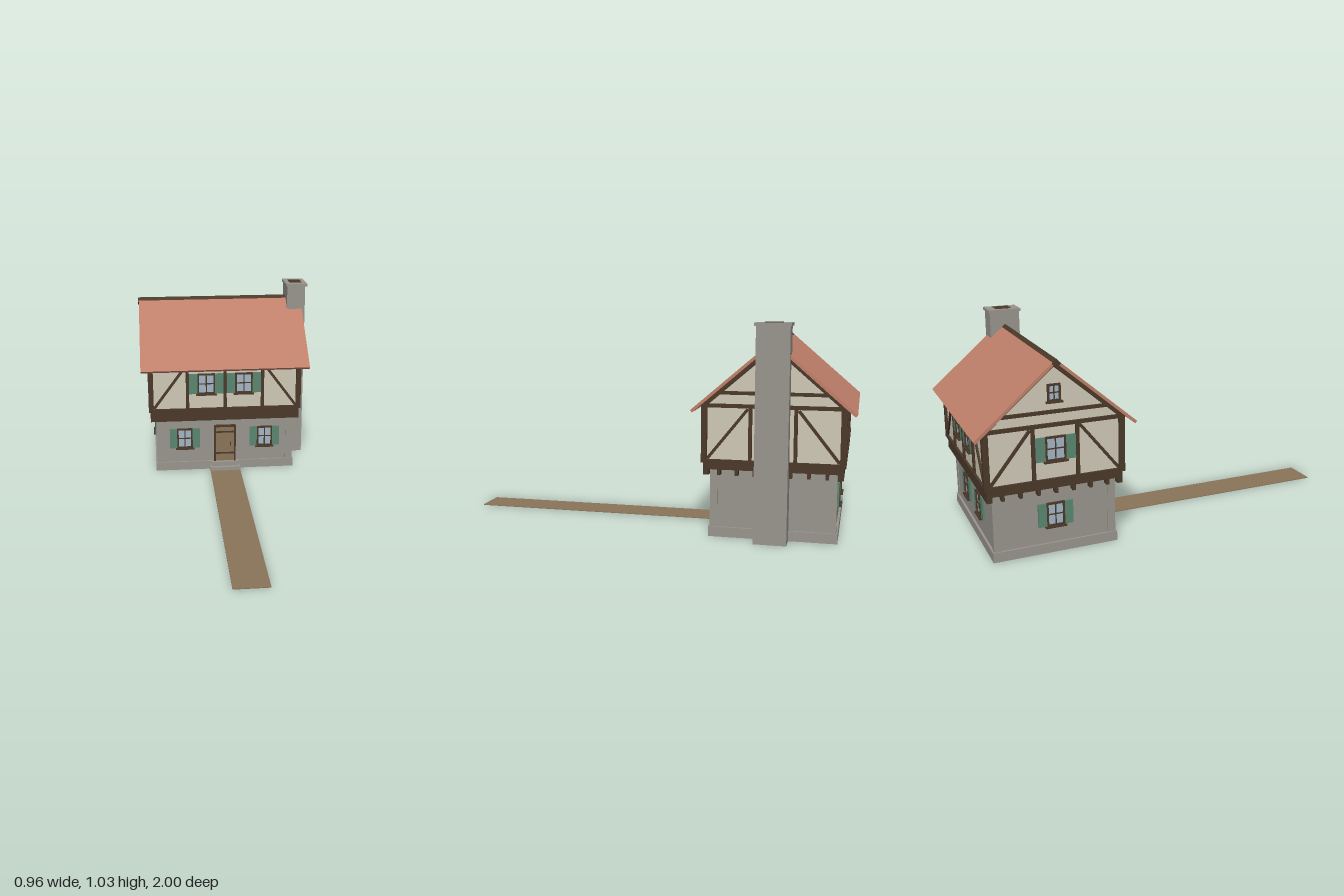
import * as THREE from 'three';

const material = (name, color) => {
  const m = new THREE.MeshStandardMaterial({ color });
  m.name = name;
  return m;
};

export function createModel() {
  const stone = material('stone', 0x99948d);
  const plaster = material('plaster', 0xd0c9b7);
  const timber = material('timber', 0x4b392a);
  const tile = material('roofTile', 0xc0806a);
  const green = material('shutterGreen', 0x5a8670);
  const glass = material('windowGlass', 0xa2b6c5);
  const wood = material('wood', 0x8a7558);

  const root = new THREE.Group();
  root.name = 'timberFrameHouse';
  const house = new THREE.Group();
  house.name = 'house';
  house.position.set(-0.0135, 0, -0.619);
  root.add(house);

  const box = (parent, name, mat, w, h, d, x, y, z) => {
    const mesh = new THREE.Mesh(new THREE.BoxGeometry(w, h, d), mat);
    mesh.name = name;
    mesh.position.set(x, y, z);
    parent.add(mesh);
    return mesh;
  };
  // Straight beam between two points of a wall plane
  const beam = (parent, name, x1, y1, x2, y2, t, d, z) => {
    const m = box(parent, name, timber, Math.hypot(x2 - x1, y2 - y1), t, d, (x1 + x2) / 2, (y1 + y2) / 2, z);
    m.rotation.z = Math.atan2(y2 - y1, x2 - x1);
    return m;
  };
  // Cross-section in (z, y), extruded along x and centred
  const prism = (name, mat, points, length, x = 0) => {
    const shape = new THREE.Shape(points.map(([z, y]) => new THREE.Vector2(z, y)));
    const geo = new THREE.ExtrudeGeometry(shape, { depth: length, bevelEnabled: false });
    geo.translate(0, 0, -length / 2).rotateY(Math.PI / 2);
    const mesh = new THREE.Mesh(geo, mat);
    mesh.name = name;
    mesh.position.x = x;
    house.add(mesh);
  };
  // Group whose local +z points out of a wall
  const wallFace = (name, angle, dist) => {
    const g = new THREE.Group();
    g.name = name;
    g.rotation.y = angle;
    g.position.set(Math.sin(angle) * dist, 0, Math.cos(angle) * dist);
    house.add(g);
    return g;
  };

  const addWindow = (face, x, y, w, h, shutterW) => {
    const g = new THREE.Group();
    g.name = 'window';
    g.position.set(x, y, 0);
    face.add(g);
    box(g, 'glass', glass, w - 0.008, h - 0.008, 0.006, 0, 0, 0.002);
    for (const s of [-1, 1]) {
      box(g, 'frameSide', timber, 0.009, h, 0.014, s * (w / 2 - 0.0045), 0, 0.004);
      box(g, 'frameRail', timber, w, 0.009, 0.014, 0, s * (h / 2 - 0.0045), 0.004);
      if (shutterW) box(g, 'shutter', green, shutterW, h - 0.002, 0.012, s * (w + shutterW) / 2, 0, 0.003);
    }
    box(g, 'mullion', timber, 0.006, h, 0.009, 0, 0, 0.003);
    box(g, 'crossbar', timber, w, 0.006, 0.009, 0, 0, 0.003);
    box(g, 'sill', timber, w + 0.016, 0.008, 0.024, 0, -h / 2 - 0.003, 0.007);
  };

  // Stone ground floor
  box(house, 'plinth', stone, 0.79, 0.048, 0.61, 0, 0.024, 0);
  box(house, 'groundFloorWall', stone, 0.768, 0.3, 0.588, 0, 0.19, 0);
  for (const sx of [-1, 1]) for (const sz of [-1, 1]) {
    box(house, 'stoneCorner', stone, 0.038, 0.29, 0.038, sx * 0.369, 0.19, sz * 0.279);
  }

  // Jetty: joists and floor band
  for (let i = -4; i <= 4; i++) box(house, 'joist', timber, 0.015, 0.03, 0.652, i * 0.08, 0.32, 0);
  for (let i = -3; i <= 3; i++) box(house, 'sideJoist', timber, 0.836, 0.03, 0.015, 0, 0.32, i * 0.084);
  for (const s of [-1, 1]) box(house, 'endJoist', timber, 0.836, 0.03, 0.026, 0, 0.32, s * 0.313);
  box(house, 'floorBand', timber, 0.836, 0.034, 0.652, 0, 0.349, 0);

  // Plastered upper floor with gables
  prism('upperWall', plaster, [[-0.324, 0.364], [0.324, 0.364], [0.324, 0.642], [0, 0.925], [-0.324, 0.642]], 0.826);
  for (const sx of [-1, 1]) for (const sz of [-1, 1]) {
    box(house, 'cornerPost', timber, 0.028, 0.275, 0.028, sx * 0.413, 0.5025, sz * 0.322);
  }

  const front = wallFace('upperFront', 0, 0.324);
  const back = wallFace('upperBack', Math.PI, 0.324);
  const leftSide = wallFace('upperLeft', Math.PI / 2, 0.413);
  const rightSide = wallFace('upperRight', -Math.PI / 2, 0.413);

  // Timber framing, half-width and post positions per wall
  const framing = (face, half, posts, braceTop) => {
    box(face, 'sillBeam', timber, half * 2, 0.016, 0.024, 0, 0.373, 0);
    box(face, 'topPlate', timber, half * 2, 0.018, 0.022, 0, 0.636, 0);
    for (const x of posts) box(face, 'post', timber, 0.017, 0.262, 0.022, x, 0.505, 0);
    for (const s of [-1, 1]) beam(face, 'brace', s * (half - 0.03), 0.385, s * braceTop, 0.622, 0.014, 0.018, 0);
  };
  for (const f of [front, back]) {
    framing(f, 0.427, [-0.21, 0, 0.21], 0.222);
    for (const s of [-1, 1]) addWindow(f, s * 0.105, 0.523, 0.098, 0.117, 0.047);
  }
  for (const f of [leftSide, rightSide]) {
    framing(f, 0.336, [-0.105, 0.105], 0.118);
    box(f, 'collarBeam', timber, 0.5, 0.016, 0.022, 0, 0.697, 0);
    for (const s of [-1, 1]) beam(f, 'gableRafter', s * 0.335, 0.626, 0, 0.915, 0.018, 0.022, 0);
  }
  addWindow(rightSide, 0, 0.523, 0.098, 0.117, 0.047);
  addWindow(rightSide, 0, 0.785, 0.062, 0.08, 0);

  // Ground floor windows
  const lowFront = wallFace('lowerFront', 0, 0.294);
  const lowBack = wallFace('lowerBack', Math.PI, 0.294);
  const lowRight = wallFace('lowerRight', -Math.PI / 2, 0.384);
  for (const s of [-1, 1]) {
    addWindow(lowFront, s * 0.228, 0.191, 0.088, 0.117, 0.041);
    addWindow(lowBack, s * 0.128, 0.191, 0.088, 0.117, 0.041);
  }
  addWindow(lowRight, 0, 0.191, 0.088, 0.117, 0.041);

  // Door
  box(lowFront, 'doorPanel', wood, 0.106, 0.21, 0.012, 0, 0.152, 0.003);
  for (const s of [-1, 1]) box(lowFront, 'doorJamb', timber, 0.01, 0.217, 0.022, s * 0.057, 0.156, 0.005);
  box(lowFront, 'doorLintel', timber, 0.124, 0.01, 0.022, 0, 0.26, 0.005);
  for (const y of [0.095, 0.224]) box(lowFront, 'doorStrap', timber, 0.104, 0.009, 0.008, 0, y, 0.008);
  box(lowFront, 'doorHandle', timber, 0.007, 0.02, 0.012, 0.032, 0.153, 0.012);

  // Steps and path
  box(house, 'lowerStep', stone, 0.17, 0.024, 0.1, 0, 0.012, 0.298);
  box(house, 'upperStep', stone, 0.152, 0.025, 0.08, 0, 0.0355, 0.285);
  box(root, 'path', wood, 0.17, 0.004, 1.28, -0.0135, 0.002, 0.36);

  // Roof and diamond ridge beam
  prism('roof', tile, [
    [-0.381, 0.617], [-0.372, 0.606], [0, 0.928], [0.372, 0.606], [0.381, 0.617], [0, 0.946],
  ], 0.932, 0.0005);
  const ridge = box(house, 'ridgeBeam', timber, 0.937, 0.03, 0.03, -0.001, 0.927, 0);
  ridge.rotation.x = Math.PI / 4;

  // Chimney
  box(house, 'chimneyShaft', stone, 0.103, 1.012, 0.155, 0.432, 0.506, 0);
  box(house, 'chimneyCap', stone, 0.121, 0.014, 0.168, 0.4335, 1.017, 0);
  box(house, 'chimneyFlue', timber, 0.067, 0.006, 0.08, 0.4335, 1.024, 0);

  return root;
}
